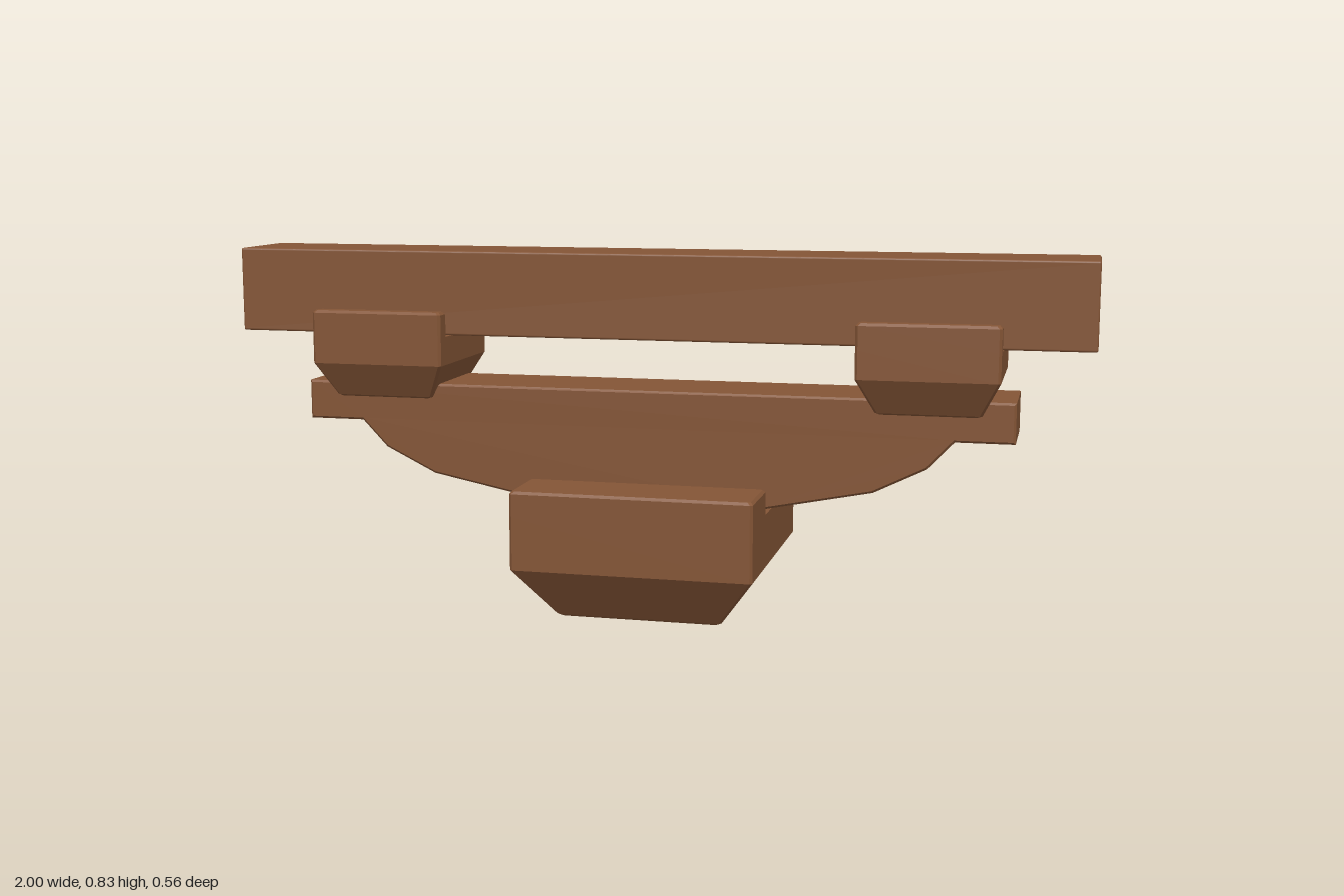
import * as THREE from 'three';
import { RoundedBoxGeometry } from 'three/addons/geometries/RoundedBoxGeometry.js';

const BEVEL = 0.006;

// Solid lofted through rectangular rings [halfX, halfZ, y] with clipped corners.
function loft(rings) {
  const pos = [];
  const loops = rings.map(([hx, hz, y]) => {
    const ix = hx - BEVEL, iz = hz - BEVEL;
    return [[hx, -iz], [hx, iz], [ix, hz], [-ix, hz], [-hx, iz], [-hx, -iz], [-ix, -hz], [ix, -hz]]
      .map(([x, z]) => [x, y, z]);
  });
  const tri = (a, b, c) => pos.push(...a, ...b, ...c);
  for (let r = 0; r < loops.length - 1; r++) {
    const lo = loops[r], hi = loops[r + 1];
    for (let i = 0; i < 8; i++) {
      const j = (i + 1) % 8;
      tri(lo[i], hi[i], hi[j]);
      tri(lo[i], hi[j], lo[j]);
    }
  }
  const first = loops[0], last = loops[loops.length - 1];
  for (let i = 1; i < 7; i++) {
    tri(first[0], first[i], first[i + 1]);
    tri(last[0], last[i + 1], last[i]);
  }
  const geo = new THREE.BufferGeometry();
  geo.setAttribute('position', new THREE.Float32BufferAttribute(pos, 3));
  geo.computeVertexNormals();
  return geo;
}

// Bearing block: tapered foot, straight body and a cheek on each side of the slot.
function bearingBlock(name, material, s) {
  const group = new THREE.Group();
  group.name = name;
  const add = (part, geo, z = 0) => {
    const mesh = new THREE.Mesh(geo, material);
    mesh.name = part;
    mesh.position.z = z;
    group.add(mesh);
  };
  add('blockBody', loft([
    [s.footX - BEVEL, s.footZ - BEVEL, s.bottom],
    [s.footX + 0.004, s.footZ + 0.004, s.bottom + BEVEL],
    [s.halfX, s.halfZ, s.shoulder],
    [s.halfX, s.halfZ, s.floor],
  ]));
  const slot = 0.115;
  const half = (s.halfZ - slot) / 2;
  for (const side of [1, -1]) {
    add(side > 0 ? 'frontCheek' : 'backCheek', loft([
      [s.halfX, half, s.floor],
      [s.halfX, half, s.top - BEVEL],
      [s.halfX - BEVEL, half - BEVEL, s.top],
    ]), side * (slot + half));
  }
  return group;
}

export function createModel() {
  const model = new THREE.Group();
  model.name = 'bracketSet';
  const wood = new THREE.MeshStandardMaterial({ color: 0x845536 });
  wood.name = 'brown wood';

  // Long beam on top
  const beam = new THREE.Mesh(new RoundedBoxGeometry(2, 0.197, 0.213, 2, 0.005), wood);
  beam.name = 'topBeam';
  beam.position.y = 0.7345;
  model.add(beam);

  // Bow-shaped bracket arm, mirrored about x = 0
  const half = [[0.832, 0.52], [0.832, 0.428], [0.7, 0.428], [0.64, 0.365], [0.52, 0.306], [0.27, 0.256]];
  const mirrored = half.map(([x, y]) => [-x, y]).reverse();
  const shape = new THREE.Shape([...half, ...mirrored].map(([x, y]) => new THREE.Vector2(x, y)));
  const b = 0.005, depth = 0.213;
  const armGeo = new THREE.ExtrudeGeometry(shape, {
    depth: depth - 2 * b, bevelEnabled: true, bevelSize: b, bevelThickness: b, bevelOffset: -b, bevelSegments: 1,
  });
  armGeo.translate(0, 0, b - depth / 2);
  const arm = new THREE.Mesh(armGeo, wood);
  arm.name = 'bracketArm';
  model.add(arm);

  // Large base block
  model.add(bearingBlock('baseBlock', wood, {
    halfX: 0.28, halfZ: 0.28, footX: 0.19, footZ: 0.19, bottom: 0, shoulder: 0.124, floor: 0.247, top: 0.306,
  }));

  // Small blocks between arm and beam
  for (const side of [1, -1]) {
    const block = bearingBlock(side > 0 ? 'leftBlock' : 'rightBlock', wood, {
      halfX: 0.159, halfZ: 0.159, footX: 0.115, footZ: 0.109, bottom: 0.483, shoulder: 0.568, floor: 0.634, top: 0.693,
    });
    block.position.x = side * 0.64;
    model.add(block);
  }
  return model;
}
